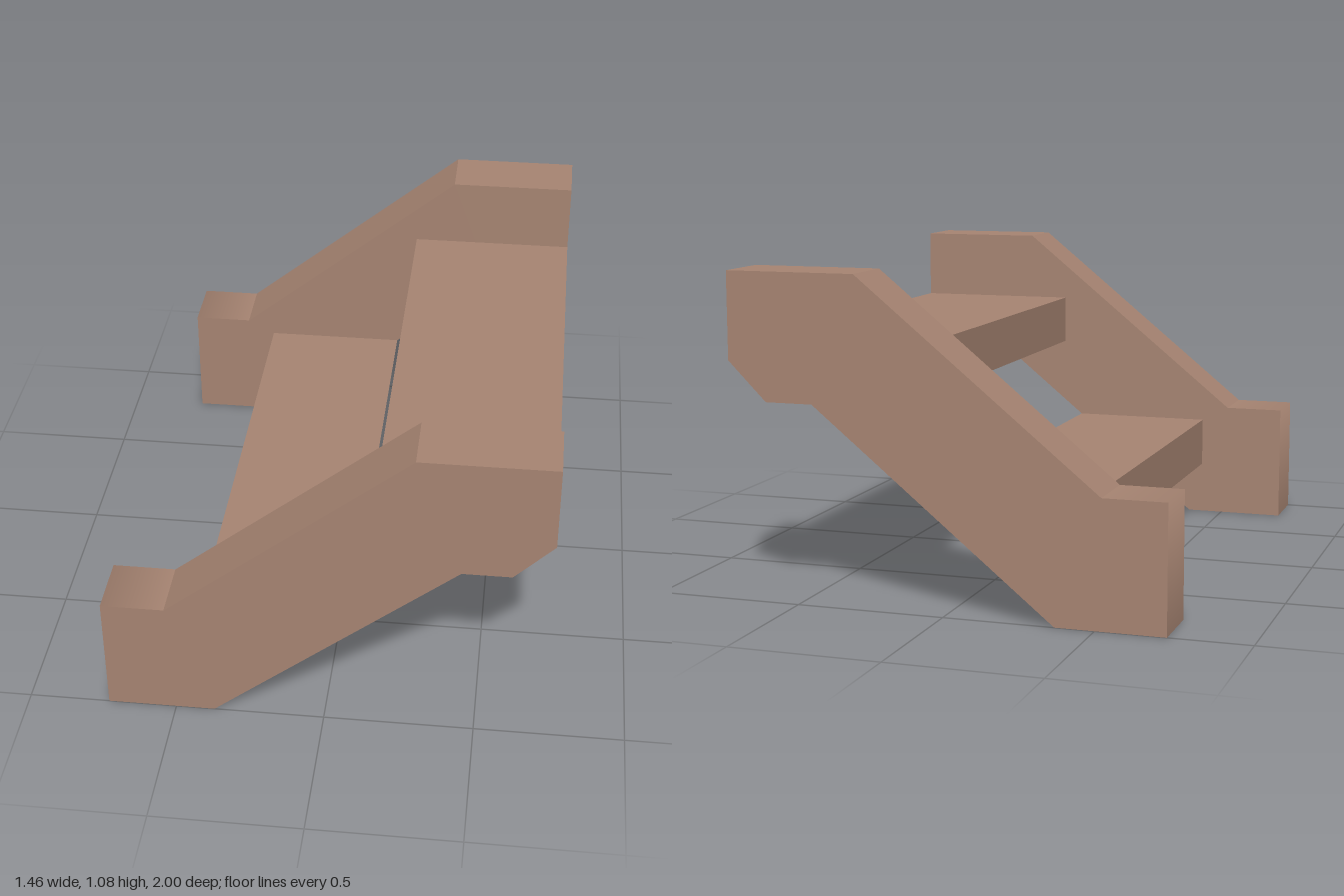
import * as THREE from 'three';

const wood = new THREE.MeshStandardMaterial({ color: 0xa58371 });
wood.name = 'brown wood';

// Extrudes a side profile (x, y) along z from z0 to z1
function plank(name, points, z0, z1) {
  const shape = new THREE.Shape(points.map(([x, y]) => new THREE.Vector2(x, y)));
  const geometry = new THREE.ExtrudeGeometry(shape, { depth: z1 - z0, bevelEnabled: false });
  geometry.translate(0, 0, z0);
  const mesh = new THREE.Mesh(geometry, wood);
  mesh.name = name;
  return mesh;
}

// Softens the shading along a profile corner, leaving the flat end caps alone
function softenCorner(geometry, x, y, nx, ny) {
  const p = geometry.attributes.position;
  const n = geometry.attributes.normal;
  const l = Math.hypot(nx, ny);
  for (let i = 0; i < p.count; i++) {
    const atCorner = Math.hypot(p.getX(i) - x, p.getY(i) - y) < 0.001;
    if (atCorner && Math.abs(n.getZ(i)) < 0.5) n.setXYZ(i, nx / l, ny / l, 0);
  }
}

export function createModel() {
  const group = new THREE.Group();
  group.name = 'stepStool';

  // Sloping side boards with a flat foot and a chamfered top end
  const side = [
    [-0.73, 0], [-0.37, 0], [0.44, 0.66], [0.6, 0.66], [0.73, 0.79],
    [0.73, 1.08], [0.29, 1.08], [-0.52, 0.42], [-0.73, 0.42],
  ];
  for (const [name, z0, z1] of [['frontSideBoard', 0.79, 1], ['backSideBoard', -1, -0.79]]) {
    const board = plank(name, side, z0, z1);
    softenCorner(board.geometry, -0.73, 0.42, -1, 1);
    softenCorner(board.geometry, 0.73, 0.79, 0.92, -0.38);
    group.add(board);
  }

  // Treads, cut flush with the undersides of the side boards
  group.add(plank('lowerTread', [[-0.42, 0.19], [-0.14, 0.19], [0.08, 0.367], [-0.42, 0.367]], -0.79, 0.79));
  group.add(plank('upperTread', [[0.15, 0.66], [0.6, 0.66], [0.73, 0.79], [0.73, 0.835], [0.15, 0.835]], -0.79, 0.79));

  return group;
}
